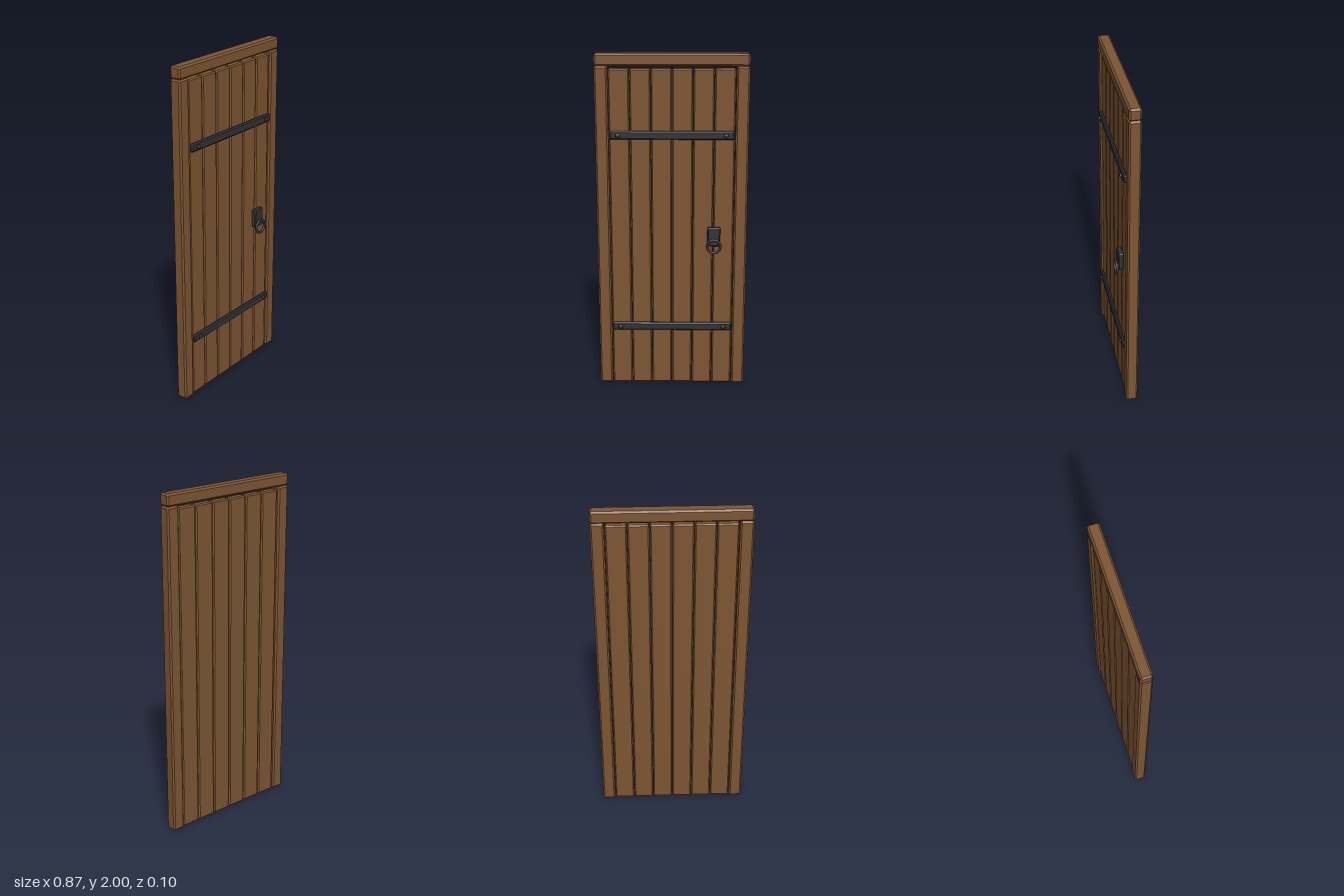
import * as THREE from 'three';
import { ConvexGeometry } from 'three/addons/geometries/ConvexGeometry.js';

const wood = new THREE.MeshStandardMaterial({ name: 'oakBrown', color: 0x7d5532 });
const iron = new THREE.MeshStandardMaterial({ name: 'blackIron', color: 0x2f3235 });

// Box between two corners with every edge chamfered by b
function chamferBox(name, material, min, max, b) {
  const lo = new THREE.Vector3(...min);
  const hi = new THREE.Vector3(...max);
  const centre = lo.clone().add(hi).multiplyScalar(0.5);
  const half = hi.clone().sub(lo).multiplyScalar(0.5);
  const points = [];
  for (const sx of [-1, 1]) for (const sy of [-1, 1]) for (const sz of [-1, 1]) {
    for (const full of ['x', 'y', 'z']) {
      const p = half.clone().subScalar(b);
      p[full] = half[full];
      points.push(p.multiply(new THREE.Vector3(sx, sy, sz)));
    }
  }
  const mesh = new THREE.Mesh(new ConvexGeometry(points), material);
  mesh.name = name;
  mesh.position.copy(centre);
  return mesh;
}

export function createModel() {
  const door = new THREE.Group();
  door.name = 'plankDoor';

  // Frame: two posts and a lintel
  const back = -0.053, front = 0.015;
  door.add(chamferBox('rightPost', wood, [-0.433, 0, back], [-0.359, 1.93, front], 0.009));
  door.add(chamferBox('leftPost', wood, [0.359, 0, back], [0.433, 1.93, front], 0.009));
  door.add(chamferBox('lintel', wood, [-0.433, 1.93, back], [0.433, 2, front], 0.01));

  // Six vertical planks
  const pitch = 0.119;
  for (let i = 0; i < 6; i++) {
    const x = (i - 2.5) * pitch;
    door.add(chamferBox('plank', wood, [x - 0.058, 0, -0.044], [x + 0.058, 1.915, 0.006], 0.007));
  }

  // Iron straps with a domed stud near each end
  const studProfile = [[0, -0.007], [0.009, -0.006], [0.014, 0], [0.009, 0.006], [0, 0.007]]
    .map(([r, y]) => new THREE.Vector2(r, y));
  const studGeometry = new THREE.LatheGeometry(studProfile, 12).rotateX(Math.PI / 2);
  for (const y of [0.376, 1.542]) {
    door.add(chamferBox('strap', iron, [-0.353, y - 0.024, 0.003], [0.353, y + 0.024, 0.025], 0.007));
    for (const x of [-0.305, 0.305]) {
      const stud = new THREE.Mesh(studGeometry, iron);
      stud.name = 'stud';
      stud.position.set(x, y, 0.03);
      door.add(stud);
    }
  }

  // Handle: back plate and pull ring
  const handle = new THREE.Group();
  handle.name = 'handle';
  handle.add(chamferBox('handlePlate', iron, [0.205, 0.888, 0.004], [0.28, 1, 0.036], 0.006));
  const ring = new THREE.Mesh(new THREE.TorusGeometry(0.039, 0.0075, 8, 24), iron);
  ring.name = 'pullRing';
  ring.position.set(0.243, 0.89, 0.043);
  handle.add(ring);
  door.add(handle);

  return door;
}
